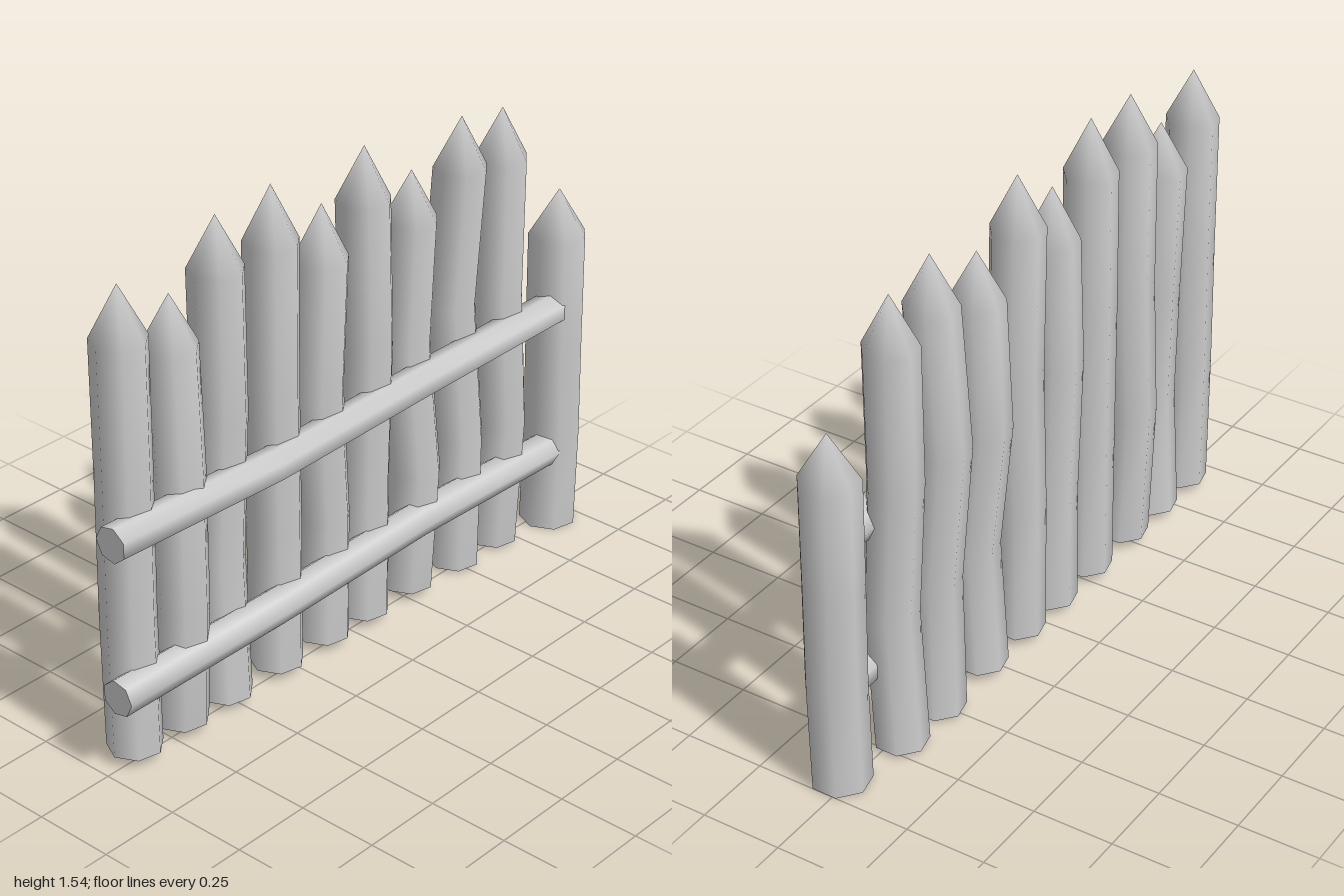
import * as THREE from 'three';

const SIDES = 7;
const material = new THREE.MeshStandardMaterial({ color: 0xcccccc });

// Log swept through ring centres (ordered along +y or +z); an optional tip closes it in a point.
function makeLog(name, centres, radius, axis, tip, start = 0) {
  const pos = [], idx = [];
  const ringPoint = (c, i) => {
    const a = start + (i / SIDES) * Math.PI * 2, u = radius * Math.cos(a), v = radius * Math.sin(a);
    return axis === 'y' ? [c[0] + v, c[1], c[2] + u] : [c[0] + u, c[1] + v, c[2]];
  };
  const addRing = (c) => {
    const first = pos.length / 3;
    for (let i = 0; i < SIDES; i++) pos.push(...ringPoint(c, i));
    return first;
  };
  // fan of triangles from one point to a ring
  const fan = (point, ring, up) => {
    const p = pos.length / 3;
    pos.push(...point);
    for (let i = 0; i < SIDES; i++) {
      const a = ring + i, b = ring + (i + 1) % SIDES;
      idx.push(p, up ? a : b, up ? b : a);
    }
  };
  const rings = centres.map(addRing);
  for (let k = 0; k < rings.length - 1; k++) {
    for (let i = 0; i < SIDES; i++) {
      const j = (i + 1) % SIDES;
      const a = rings[k] + i, b = rings[k] + j, c = rings[k + 1] + j, d = rings[k + 1] + i;
      idx.push(a, b, c, a, c, d);
    }
  }
  // flat end caps use their own rings so the rim stays sharp
  const last = centres[centres.length - 1];
  fan(centres[0], addRing(centres[0]), false);
  if (tip) fan(tip, rings[rings.length - 1], true);
  else fan(last, addRing(last), true);

  const geo = new THREE.BufferGeometry();
  geo.setAttribute('position', new THREE.Float32BufferAttribute(pos, 3));
  geo.setIndex(idx);
  geo.computeVertexNormals();
  const mesh = new THREE.Mesh(geo, material);
  mesh.name = name;
  return mesh;
}

// Upright stake: two middle rings at thirds of the shaft are nudged by bends [dx, dz].
function makeStake(name, x, z, base, shoulder, tip, radius, low, high) {
  const at = (t, [dx, dz]) => [x + dx, base + (shoulder - base) * t, z + dz];
  const centres = [at(0, [0, 0]), at(1 / 3, low), at(2 / 3, high), at(1, [0, 0])];
  return makeLog(name, centres, radius, 'y', [x, tip, z]);
}

export function createModel() {
  const group = new THREE.Group();
  group.name = 'palisadeFence';

  // Pointed stakes: z, base, shoulder, tip, lower bend, upper bend
  const stakes = [
    [0.872, 0.03, 1.30, 1.46, [0, 0.005], [0, 0]],
    [0.688, 0.03, 1.21, 1.365, [0.03, 0.015], [0.01, -0.005]],
    [0.509, 0.03, 1.37, 1.53, [-0.02, -0.002], [-0.01, -0.015]],
    [0.294, 0.03, 1.375, 1.545, [0, 0], [0, 0.003]],
    [0.092, 0.03, 1.25, 1.42, [0, -0.002], [0, 0.022]],
    [-0.085, 0.03, 1.37, 1.535, [0, 0], [0, -0.014]],
    [-0.288, 0.03, 1.24, 1.395, [0.025, 0], [-0.018, 0.002]],
    [-0.508, 0.01, 1.33, 1.49, [0.01, 0.004], [-0.028, 0.006]],
    [-0.695, 0.01, 1.30, 1.46, [0.025, 0.002], [0, 0.004]],
  ];
  stakes.forEach(([z, base, shoulder, tip, low, high], i) =>
    group.add(makeStake(`stake${i + 1}`, -0.02, z, base, shoulder, tip, 0.082, low, high)));

  // Shorter, thicker end post
  group.add(makeStake('endPost', 0.028, -0.919, 0, 0.99, 1.14, 0.09, [0.006, 0], [0.002, 0]));

  // Two slightly bowed rails, running into the end post
  const rails = [
    ['lowerRail', [0.28, 0.295, 0.28, 0.28], 0],
    ['upperRail', [0.765, 0.757, 0.742, 0.765], Math.PI],
  ];
  const railZ = [-0.87, -0.25, 0.38, 1];
  for (const [name, heights, start] of rails) {
    const centres = heights.map((y, i) => [0.052, y, railZ[i]]);
    group.add(makeLog(name, centres, 0.055, 'z', null, start));
  }
  return group;
}
